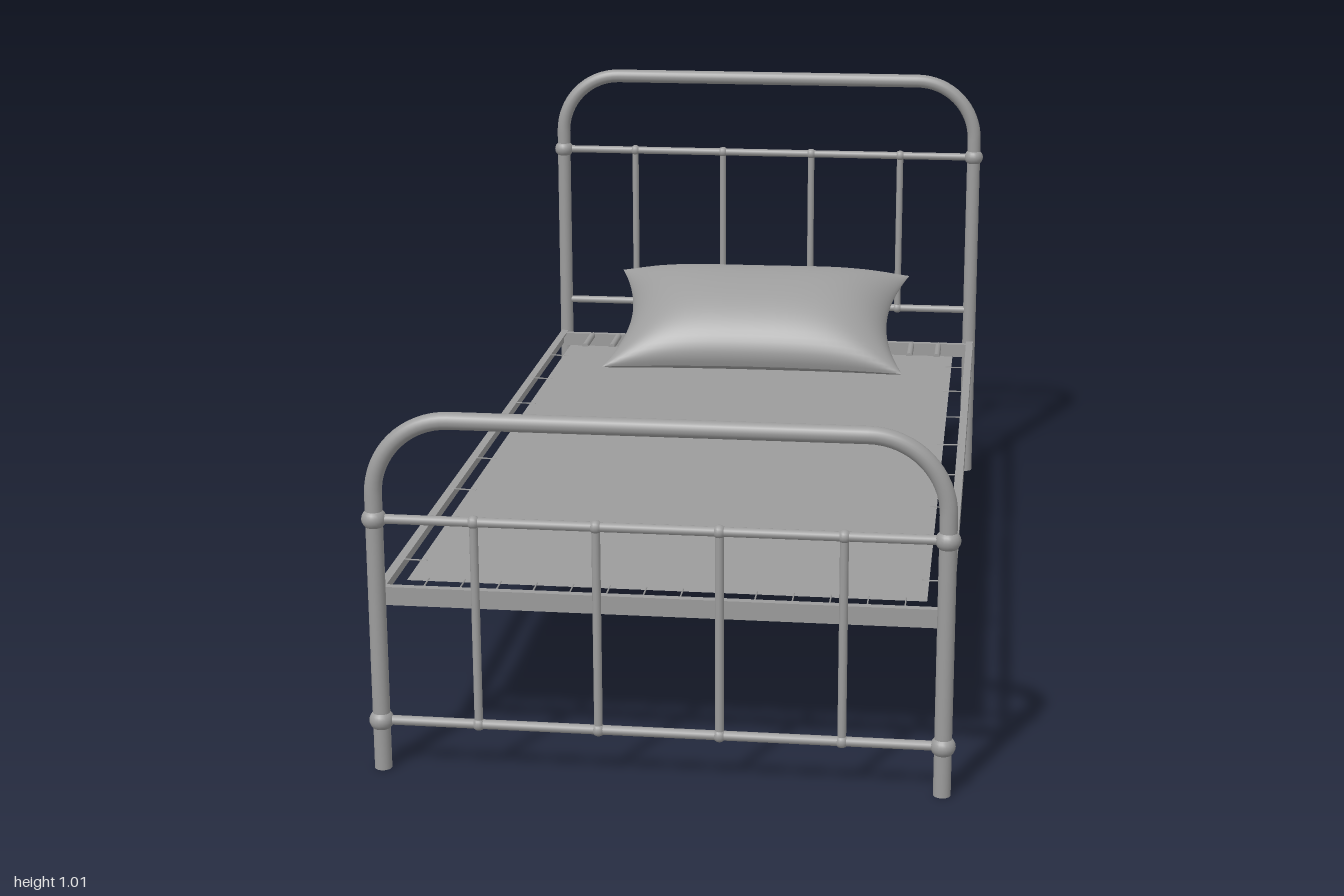
import * as THREE from 'three';

const mat = new THREE.MeshStandardMaterial({ color: 0x9c9c9c });
const sheetMat = new THREE.MeshStandardMaterial({ color: 0x9c9c9c, side: THREE.DoubleSide });
const UP = new THREE.Vector3(0, 1, 0);

function add(parent, name, geometry, x = 0, y = 0, z = 0, material = mat) {
  const mesh = new THREE.Mesh(geometry, material);
  mesh.name = name;
  mesh.position.set(x, y, z);
  parent.add(mesh);
  return mesh;
}

// Round bar between two points
function bar(parent, name, a, b, radius, sides = 12) {
  const from = new THREE.Vector3(...a), dir = new THREE.Vector3(...b).sub(from);
  const mesh = add(parent, name, new THREE.CylinderGeometry(radius, radius, dir.length(), sides));
  mesh.position.copy(from).addScaledVector(dir, 0.5);
  mesh.quaternion.setFromUnitVectors(UP, dir.normalize());
}

const POST_X = 0.515, POST_Z = 0.977, POST_R = 0.016, BEND = 0.142;

// One bent-tube end of the bed: hoop, two cross rails, spindles and collars
function createEnd(name, z, topY, upperY, lowerY, lowerCollars) {
  const end = new THREE.Group();
  end.name = name;
  end.position.z = z;
  const bendX = POST_X - BEND, bendY = topY - BEND;

  bar(end, 'topRail', [-bendX, topY, 0], [bendX, topY, 0], POST_R, 20);
  for (const s of [-1, 1]) {
    bar(end, 'post', [s * POST_X, 0, 0], [s * POST_X, bendY, 0], POST_R, 20);
    const corner = add(end, 'cornerBend', new THREE.TorusGeometry(BEND, POST_R, 20, 16, Math.PI / 2), s * bendX, bendY, 0);
    if (s < 0) corner.rotation.y = Math.PI;
  }

  for (const y of [upperY, lowerY]) {
    bar(end, 'crossRail', [-POST_X, y, 0], [POST_X, y, 0], 0.009);
    if (y === upperY || lowerCollars) {
      for (const s of [-1, 1]) {
        add(end, 'postCollar', new THREE.SphereGeometry(0.023, 20, 12), s * POST_X, y, 0).scale.y = 0.9;
      }
    }
  }
  for (const x of [-0.333, -0.111, 0.111, 0.333]) {
    bar(end, 'spindle', [x, lowerY, 0], [x, upperY, 0], 0.008);
    for (const y of [lowerY, upperY]) {
      add(end, 'spindleJoint', new THREE.SphereGeometry(0.0125, 14, 10), x, y, 0);
    }
  }
  return end;
}

// Angle-iron frame, stretched sheet, springs and hooks
function createBase() {
  const base = new THREE.Group();
  base.name = 'bedBase';
  for (const s of [-1, 1]) {
    add(base, 'sideRailWeb', new THREE.BoxGeometry(0.004, 0.035, 1.93), s * 0.524, 0.3245, 0);
    add(base, 'sideRailFlange', new THREE.BoxGeometry(0.017, 0.004, 1.93), s * 0.5175, 0.34, 0);
    add(base, 'endRailWeb', new THREE.BoxGeometry(1.03, 0.035, 0.004), 0, 0.3245, s * 0.942);
    add(base, 'endRailFlange', new THREE.BoxGeometry(1.03, 0.004, 0.015), 0, 0.34, s * 0.9365);
  }

  const sheet = add(base, 'sleepingSheet', new THREE.PlaneGeometry(0.957, 1.717), 0, 0.34, 0.04, sheetMat);
  sheet.rotation.x = -Math.PI / 2;

  // Springs at the head, thin hooks at the foot
  for (let i = 0; i < 14; i++) {
    const x = -0.44 + i * 0.0677;
    bar(base, 'headSpring', [x, 0.34, -0.918], [x, 0.34, -0.81], 0.008, 10);
    bar(base, 'headSpringHook', [x, 0.341, -0.94], [x, 0.341, -0.918], 0.003, 6);
    bar(base, 'footHook', [x, 0.34, 0.885], [x, 0.34, 0.937], 0.0015, 6);
  }
  // Hooks along both sides
  for (let i = 0; i < 8; i++) {
    const z = -0.715 + i * 0.215;
    for (const s of [-1, 1]) {
      bar(base, 'sideHook', [s * 0.465, 0.34, z], [s * 0.515, 0.341, z], 0.0015, 6);
    }
  }
  return base;
}

// Leaning pillow: two bulging faces meeting at a pinched seam, flattened on the bed
function createPillow() {
  const pillow = new THREE.Group();
  pillow.name = 'pillow';
  for (const side of [1, -1]) {
    const geo = new THREE.PlaneGeometry(2, 2, 40, 28);
    const p = geo.attributes.position;
    for (let i = 0; i < p.count; i++) {
      // Sine spacing packs more rows near the seam
      const u = Math.sin(p.getX(i) * Math.PI / 2), v = Math.sin(p.getY(i) * Math.PI / 2);
      const eu = Math.max(0, 1 - u * u), ev = Math.max(0, 1 - v * v);
      const plump = Math.pow(Math.max(0, 1 - u ** 4), 0.7) * Math.pow(ev, 0.45);
      const bulge = side * (side > 0 ? 0.097 : 0.11) * plump;
      const across = v * (1 - 0.07 * eu);
      const x = u * 0.363 * (1 - 0.13 * ev);
      const y = 0.426 + across * 0.081 + bulge * 0.91;
      const z = -0.787 - across * 0.173 + bulge * 0.416 - 0.007 * u;
      p.setXYZ(i, x, Math.max(0.342, y), z);
    }
    if (side < 0) {
      // Reverse the winding of the underside
      const idx = geo.index;
      for (let i = 0; i < idx.count; i += 3) {
        const a = idx.getX(i);
        idx.setX(i, idx.getX(i + 1));
        idx.setX(i + 1, a);
      }
    }
    geo.computeVertexNormals();
    add(pillow, side > 0 ? 'pillowTop' : 'pillowUnderside', geo);
  }
  return pillow;
}

export function createModel() {
  const bed = new THREE.Group();
  bed.name = 'bed';
  bed.add(
    createEnd('headboard', -POST_Z, 0.998, 0.811, 0.421, false),
    createEnd('footboard', POST_Z, 0.673, 0.485, 0.095, true),
    createBase(),
    createPillow()
  );
  return bed;
}
